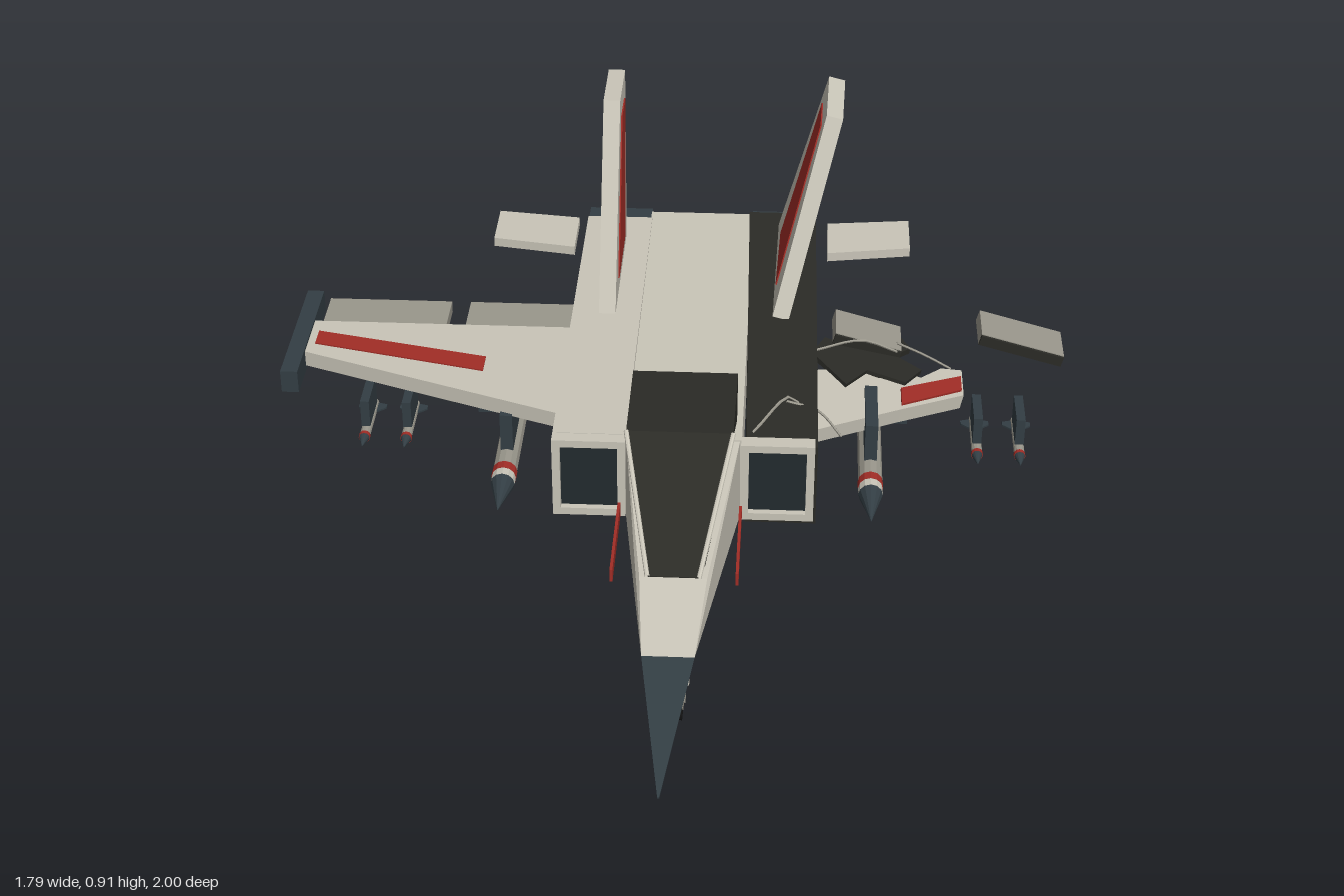
import * as THREE from 'three';
import { ConvexGeometry } from 'three/addons/geometries/ConvexGeometry.js';

const mat = (color) => new THREE.MeshStandardMaterial({ color, flatShading: true, side: THREE.DoubleSide });
const M = {
  body: mat(0xc9c5b8), grey: mat(0x9a978c), burnt: mat(0x2b2b26), steel: mat(0x333e44),
  dark: mat(0x222a2e), red: mat(0xa12d26), tyre: mat(0x1a1a1a),
};
const CX = 0.032; // fuselage centre line

export function createModel() {
  const root = new THREE.Group();
  const add = (name, geo, m, parent = root) => {
    const mesh = new THREE.Mesh(geo, m);
    mesh.name = name;
    parent.add(mesh);
    return mesh;
  };
  const group = (name, x, y, z, parent = root) => {
    const g = new THREE.Group();
    g.name = name;
    g.position.set(x, y, z);
    parent.add(g);
    return g;
  };
  const box = (name, m, x0, x1, y0, y1, z0, z1, parent) => {
    const b = add(name, new THREE.BoxGeometry(x1 - x0, y1 - y0, z1 - z0), m, parent);
    b.position.set((x0 + x1) / 2, (y0 + y1) / 2, (z0 + z1) / 2);
    return b;
  };
  // convex body through trapezoid sections [z, xCentre, halfTop, halfBottom, yTop, yBottom]
  const loft = (name, m, sections, parent) => add(name, new ConvexGeometry(sections.flatMap(
    ([z, x, t, b, y1, y0]) => [[x - t, y1], [x + t, y1], [x - b, y0], [x + b, y0]]
      .map(([px, py]) => new THREE.Vector3(px, py, z)))), m, parent);
  // flat plate from a plan outline of [x, z], bottom at y
  const plate = (name, m, pts, y, t, parent) => {
    const shape = new THREE.Shape(pts.map(([x, z]) => new THREE.Vector2(x, -z)));
    const geo = new THREE.ExtrudeGeometry(shape, { depth: t, bevelEnabled: false });
    geo.rotateX(-Math.PI / 2).translate(0, y, 0);
    return add(name, geo, m, parent);
  };
  // rod between two points
  const rod = (name, m, a, b, r, parent) => {
    const line = new THREE.LineCurve3(new THREE.Vector3(...a), new THREE.Vector3(...b));
    return add(name, new THREE.TubeGeometry(line, 1, r, 8), m, parent);
  };
  // square frame facing z, from z0 to z0 + depth
  const frame = (name, m, x, y, w, h, wall, z0, depth) => {
    const rect = (P, a, b) => new P([[-a, -b], [a, -b], [a, b], [-a, b]].map(p => new THREE.Vector2(...p)));
    const s = rect(THREE.Shape, w / 2, h / 2);
    s.holes.push(rect(THREE.Path, w / 2 - wall, h / 2 - wall));
    add(name, new THREE.ExtrudeGeometry(s, { depth, bevelEnabled: false }), m).position.set(x, y, z0);
  };

  // Fuselage, nose and canopy
  loft('noseCone', M.steel, [[1, CX, 0.002, 0.002, 0.267, 0.263], [0.66, CX, 0.052, 0.026, 0.328, 0.247]]);
  loft('forwardFuselage', M.body, [[0.66, CX, 0.052, 0.026, 0.328, 0.247],
    [0.46, CX, 0.068, 0.058, 0.372, 0.245], [0.04, CX, 0.122, 0.125, 0.435, 0.245]]);
  loft('centreFuselage', M.body, [[0.05, CX, 0.125, 0.125, 0.436, 0.245], [-0.95, CX, 0.124, 0.124, 0.447, 0.265]]);
  loft('canopy', M.burnt, [[0.46, CX, 0.05, 0.055, 0.374, 0.35],
    [0.2, CX, 0.11, 0.085, 0.55, 0.41], [-0.055, CX, 0.112, 0.112, 0.538, 0.42]]);
  for (const s of [-1, 1]) {
    rod('canopyFrame', M.body, [CX + s * 0.052, 0.374, 0.462], [CX + s * 0.11, 0.55, 0.2], 0.005);
    box('fuselageStripe', M.red, CX + s * 0.127 - 0.003, CX + s * 0.127 + 0.003, 0.335, 0.364, 0.19, 0.43);
  }

  // Engine housings: sound on the right, burnt and shifted on the left
  loft('rightEngineHousing', M.body, [[0.06, -0.167, 0.078, 0.078, 0.45, 0.258], [-0.915, -0.167, 0.078, 0.078, 0.45, 0.268]]);
  loft('leftEngineHousing', M.burnt, [[0.062, 0.242, 0.076, 0.076, 0.432, 0.237], [-0.91, 0.228, 0.08, 0.08, 0.474, 0.282]]);
  for (const x of [-0.167, 0.234]) {
    frame('intakeRim', M.body, x, 0.355, 0.156, 0.188, 0.017, 0.055, 0.035);
    box('intakeOpening', M.dark, x - 0.063, x + 0.063, 0.275, 0.435, 0.04, 0.075);
    frame('nozzle', M.steel, x - 0.002, 0.354, 0.154, 0.15, 0.018, -1, 0.09);
    box('nozzleOpening', M.dark, x - 0.066, x + 0.06, 0.29, 0.42, -0.965, -0.9);
  }

  // Right wing with flaps and tip rail
  plate('rightWing', M.body, [[-0.24, -0.15], [-0.86, -0.39], [-0.86, -0.53], [-0.24, -0.53]], 0.323, 0.037);
  plate('rightWingStripe', M.red, [[-0.84, -0.48], [-0.84, -0.425], [-0.44, -0.325], [-0.44, -0.385]], 0.35, 0.013);
  box('rightOuterFlap', M.grey, -0.84, -0.55, 0.328, 0.355, -0.645, -0.535);
  box('rightInnerFlap', M.grey, -0.505, -0.245, 0.328, 0.355, -0.645, -0.535);
  box('wingTipRail', M.steel, -0.897, -0.858, 0.312, 0.366, -0.66, -0.29);

  // Left wing: drooping remnant with a torn rear edge and loose flaps
  const wing = group('leftWing', 0.31, 0.318, 0);
  wing.rotation.z = -0.2;
  plate('wingRemnant', M.body, [[-0.02, -0.14], [0.2, -0.315], [0.35, -0.43], [0.35, -0.54],
    [0.3, -0.53], [0.25, -0.47], [0.2, -0.48], [0.15, -0.43], [0.08, -0.45], [-0.02, -0.4]], -0.018, 0.036, wing);
  plate('leftWingStripe', M.red, [[0.2, -0.4], [0.2, -0.33], [0.345, -0.445], [0.345, -0.505]].reverse(), 0.01, 0.013, wing);
  plate('tornSkin', M.burnt, [[-0.01, -0.47], [0.07, -0.36], [0.12, -0.44], [0.21, -0.42], [0.25, -0.49],
    [0.19, -0.53], [0.13, -0.6], [0.09, -0.53], [0.02, -0.55]], 0.015, 0.012, wing);
  plate('tornEdge', M.burnt, [[0.17, -0.53], [0.23, -0.6], [0.19, -0.67], [0.15, -0.61]], 0.0, 0.015, wing);
  for (const [x, w, y] of [[0.433, 0.16, 0.328], [0.79, 0.2, 0.33]]) {
    const flap = group('looseFlap', x, y, -0.588);
    flap.rotation.z = -0.27;
    box('flapPanel', M.grey, -w / 2, w / 2, -0.014, 0.014, -0.055, 0.055, flap);
    box('flapBurntEdge', M.burnt, -w / 2, w / 2, -0.012, 0.012, 0.053, 0.062, flap);
  }

  // Exposed cables
  const cables = [[[0.3, 0.4, -0.08], [0.26, 0.455, -0.1], [0.18, 0.44, 0.02]],
    [[0.25, 0.45, -0.09], [0.32, 0.42, -0.1], [0.37, 0.37, -0.08]],
    [[0.31, 0.37, -0.44], [0.42, 0.37, -0.49], [0.5, 0.36, -0.46]],
    [[0.5, 0.36, -0.5], [0.57, 0.31, -0.53], [0.63, 0.27, -0.54]]];
  for (const c of cables) {
    const curve = new THREE.CatmullRomCurve3(c.map(p => new THREE.Vector3(...p)));
    add('cable', new THREE.TubeGeometry(curve, 8, 0.003, 5), M.grey);
  }

  // Tailplanes
  for (const [c, s] of [[-0.27, -1], [0.338, 1]])
    plate('tailplane', M.body, [[c, -0.95], [c, -0.8], [c + s * 0.198, -0.835], [c + s * 0.198, -0.975]], 0.404, 0.022);

  // Tail fins, from [z, y] outlines spread across x
  const fin = (name, x, y, tilt, outline, panel) => {
    const g = group(name, x, y, 0);
    g.rotation.z = tilt;
    const slab = (n, m, pts, t) => add(n, new ConvexGeometry(pts.flatMap(
      ([z, h]) => [-t, t].map(px => new THREE.Vector3(px, h, z)))), m, g);
    slab('finBlade', M.body, outline, 0.019);
    slab('finPanel', M.red, panel, 0.022);
  };
  fin('rightFin', -0.165, 0.44, 0, [[-0.44, 0], [-0.83, 0], [-0.83, 0.44], [-0.665, 0.44]],
    [[-0.54, 0.05], [-0.74, 0.05], [-0.785, 0.39], [-0.69, 0.39]]);
  fin('leftFin', 0.228, 0.445, -0.25, [[-0.435, 0.01], [-0.825, 0.04], [-0.765, 0.47], [-0.6, 0.45]],
    [[-0.53, 0.04], [-0.725, 0.07], [-0.725, 0.42], [-0.63, 0.41]]);

  // Landing gear; each leg hangs from its mount
  const gear = (name, x, z, tilt, doorZ0, doorZ1, doorX, brace) => {
    const g = group(name, x, 0.26, z);
    g.rotation.z = tilt;
    rod('strut', M.body, [0, 0.01, 0], [0, -0.17, 0], 0.012, g);
    rod('brace', M.body, [0, -0.14, 0], [0, 0, brace], 0.008, g);
    box('gearDoor', M.body, doorX - 0.004, doorX + 0.004, -0.145, 0, doorZ0, doorZ1, g);
    for (const s of [-1, 1]) box('fork', M.grey, s * 0.022 - 0.003, s * 0.022 + 0.003, -0.22, -0.15, -0.008, 0.008, g);
    box('forkBridge', M.grey, -0.025, 0.025, -0.165, -0.15, -0.008, 0.008, g);
    for (const [n, m, r, w] of [['tyre', M.tyre, 0.046, 0.038], ['hub', M.grey, 0.025, 0.042]])
      add(n, new THREE.CylinderGeometry(r, r, w, 20).rotateZ(Math.PI / 2), m, g).position.y = -0.214;
  };
  gear('noseGear', CX, 0.435, 0, -0.025, 0.045, 0.03, -0.08);
  gear('rightMainGear', -0.18, -0.43, 0, -0.03, 0.04, 0.05, 0.08);
  gear('leftMainGear', 0.247, -0.43, 0.2, -0.03, 0.04, 0.04, 0.08);

  // Stores: stacked round segments [name, material, zFront, zBack, rFront, rBack]
  const segments = (parts, parent) => {
    for (const [n, m, z1, z0, r1, r0] of parts)
      add(n, new THREE.CylinderGeometry(r1, r0, z1 - z0, 12).rotateX(Math.PI / 2), m, parent).position.z = (z0 + z1) / 2;
  };
  for (const x of [-0.375, 0.44]) {
    const g = group('missile', x, 0.213, 0);
    segments([['missileNose', M.steel, 0.012, -0.09, 0.001, 0.027], ['missileCollar', M.body, -0.09, -0.115, 0.027, 0.027],
      ['missileBand', M.red, -0.115, -0.14, 0.028, 0.028], ['missileBody', M.grey, -0.14, -0.39, 0.027, 0.027],
      ['missileTail', M.steel, -0.39, -0.45, 0.027, 0.02]], g);
    box('tailFin', M.steel, -0.088, 0.088, -0.004, 0.004, -0.44, -0.39, g);
    box('tailFin', M.steel, -0.004, 0.004, -0.088, 0.088, -0.44, -0.39, g);
    box('pylon', M.steel, -0.014, 0.014, 0.02, 0.115, -0.36, -0.19, g);
  }
  for (const x of [-0.705, -0.61, 0.68, 0.775]) {
    const g = group('smallMissile', x, 0.23, 0);
    segments([['tip', M.steel, -0.2, -0.235, 0.001, 0.012], ['band', M.red, -0.235, -0.245, 0.013, 0.013],
      ['tube', M.grey, -0.245, -0.385, 0.012, 0.012]], g);
    for (const a of [0, Math.PI / 2])
      plate('smallFins', M.steel, [[0, -0.335], [-0.032, -0.362], [-0.032, -0.375], [0, -0.385], [0.032, -0.375], [0.032, -0.362]],
        -0.002, 0.004, g).rotation.z = a;
    box('smallPylon', M.steel, -0.01, 0.01, 0.012, 0.077, -0.37, -0.265, g);
  }
  return root;
}
